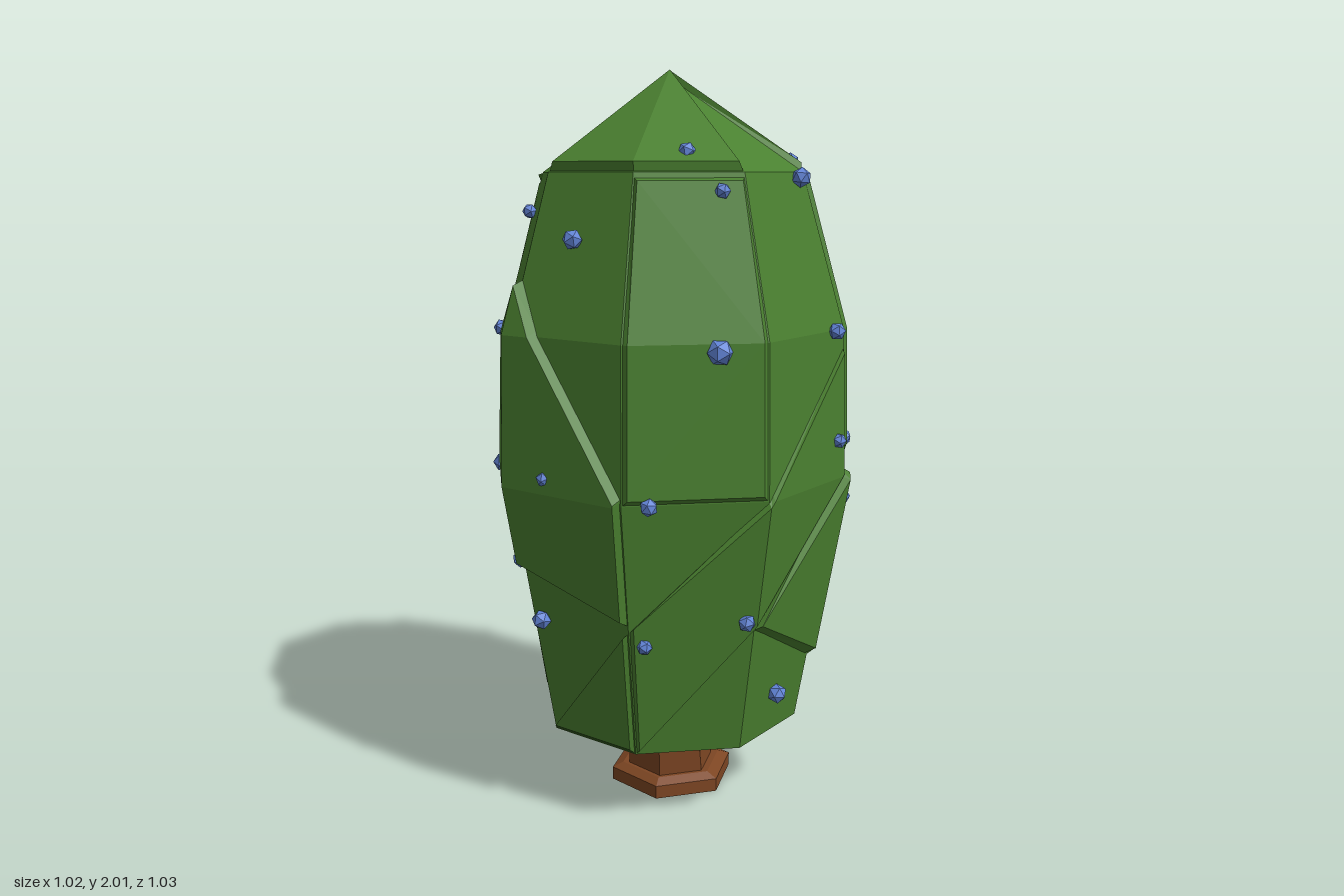
import * as THREE from 'three';

const leaf = new THREE.MeshStandardMaterial({ color: 0x4a8030, flatShading: true, side: THREE.DoubleSide });
leaf.name = 'leafGreen';
const bark = new THREE.MeshStandardMaterial({ color: 0x7d4623, flatShading: true });
bark.name = 'barkBrown';
const berryBlue = new THREE.MeshStandardMaterial({ color: 0x6285d8, flatShading: true });
berryBlue.name = 'berryBlue';

// Crown rings: [height, corner radius]; eight sides, u = corner number from the front towards +x
const RINGS = [[0.22, 0.368], [0.93, 0.49], [1.33, 0.48], [1.74, 0.362], [1.985, 0]];

function radiusAt(y) {
  for (let i = 1; i < RINGS.length; i++) {
    const [y0, r0] = RINGS[i - 1], [y1, r1] = RINGS[i];
    if (y <= y1 + 1e-6) return r0 + (r1 - r0) * (y - y0) / (y1 - y0);
  }
  return 0;
}

// Point on the faceted crown, pushed outwards by off
function onCrown(u, y, off = 0) {
  const k = Math.floor(u + 1e-6), f = u - k;
  const a = k * Math.PI / 4, b = a + Math.PI / 4;
  const r = radiusAt(y), R = r + off * Math.min(1, r / 0.3);
  const lift = off * THREE.MathUtils.clamp((y - 1.6) / 0.3, 0, 1);
  return new THREE.Vector3(
    R * (Math.sin(a) * (1 - f) + Math.sin(b) * f), y + lift,
    R * (Math.cos(a) * (1 - f) + Math.cos(b) * f));
}

// Keep the part of a (u, y) polygon where s * p[axis] >= s * limit
function clip(poly, axis, limit, s) {
  const out = [];
  poly.forEach((p, i) => {
    const q = poly[(i + 1) % poly.length];
    const dp = s * (p[axis] - limit), dq = s * (q[axis] - limit);
    if (dp >= 0) out.push(p);
    if (dp * dq < 0) {
      const t = dp / (dp - dq);
      out.push([p[0] + (q[0] - p[0]) * t, p[1] + (q[1] - p[1]) * t]);
    }
  });
  return out;
}

function meshFrom(points, name) {
  const g = new THREE.BufferGeometry().setFromPoints(points);
  g.computeVertexNormals();
  const m = new THREE.Mesh(g, leaf);
  m.name = name;
  return m;
}

// Surface of a (u, y) polygon draped over the crown facets
function drape(poly, off) {
  const pts = [];
  const us = poly.map(p => p[0]);
  for (let k = Math.floor(Math.min(...us)); k < Math.max(...us); k++) {
    for (let j = 0; j < RINGS.length - 1; j++) {
      let c = clip(clip(poly, 0, k, 1), 0, k + 1, -1);
      c = clip(clip(c, 1, RINGS[j][0], 1), 1, RINGS[j + 1][0], -1);
      // the last column edge must stay on this facet
      const v = c.map(([u, y]) => onCrown(u, y, off));
      for (let i = 1; i < v.length - 1; i++) pts.push(v[0], v[i], v[i + 1]);
    }
  }
  return pts;
}

// Raised leaf panel with sloping rim; corners run anticlockwise seen from outside
function leafPanel(name, corners, off) {
  const n = corners.length;
  const cu = corners.reduce((s, p) => s + p[0], 0) / n;
  const cy = corners.reduce((s, p) => s + p[1], 0) / n;
  const inner = corners.map(([u, y]) => {
    const du = cu - u, dy = cy - y;
    return [u + Math.sign(du) * Math.min(0.05, Math.abs(du)),
      y > 1.98 ? y : y + Math.sign(dy) * Math.min(0.015, Math.abs(dy))];
  });
  const pts = drape(inner, off);
  const mix = (p, q, t) => [p[0] + (q[0] - p[0]) * t, p[1] + (q[1] - p[1]) * t];
  for (let i = 0; i < n; i++) {
    const p = inner[i], q = inner[(i + 1) % n], P = corners[i], Q = corners[(i + 1) % n];
    // break the rim wherever it crosses a crown edge
    const cuts = [0, 1];
    for (let k = 0; k <= 9; k++) cuts.push((k - p[0]) / (q[0] - p[0]));
    for (const [y] of RINGS) cuts.push((y - p[1]) / (q[1] - p[1]));
    const ts = cuts.filter(t => t >= 0 && t <= 1).sort((a, b) => a - b);
    for (let j = 1; j < ts.length; j++) {
      if (ts[j] - ts[j - 1] < 1e-5) continue;
      const a = onCrown(...mix(p, q, ts[j - 1]), off), b = onCrown(...mix(p, q, ts[j]), off);
      const A = onCrown(...mix(P, Q, ts[j - 1]), -0.004), B = onCrown(...mix(P, Q, ts[j]), -0.004);
      pts.push(A, B, b, A, b, a);
    }
  }
  return meshFrom(pts, name);
}

function buildCrown() {
  const crown = new THREE.Group();
  crown.name = 'crown';
  const low = RINGS[0][0], top = RINGS[4][0];
  crown.add(meshFrom(drape([[0, low], [8, low], [8, top], [0, top]], 0), 'crownShell'));
  const panels = [
    ['frontRightLeaf', [[6, 0.9], [7, 0.7], [8, 0.6], [8, 0.95], [7, 1.47], [6, 0.95]], 0.024],
    ['lowerFrontLeaf', [[7, 0.22], [8, 0.22], [8, 0.58]], 0.012],
    ['diagonalLeaf', [[0, 0.22], [1, 0.57], [2, 0.95], [2, 1.28], [1, 0.93], [0, 0.58]], 0.012],
    ['leftSideLeaf', [[1, 0.57], [2, 0.4], [3, 0.37], [3, 0.64], [2, 0.95]], 0.022],
    ['upperFrontLeaf', [[0, 0.93], [1, 0.93], [1, 1.73], [0, 1.73]], 0.012],
    ['upperLeftLeaf', [[2, 1.0], [3, 0.64], [4, 0.94], [4, 1.74], [2, 1.74]], 0.014],
    ['lowerBackLeaf', [[4, 0.22], [6, 0.22], [6, 0.93], [4, 0.93]], 0.02],
    ['upperBackLeaf', [[5, 1.34], [6, 1.74], [4, 1.74]], 0.02],
    ['backSideLeaf', [[5, 1.34], [6, 0.98], [6, 1.72]], 0.012],
    ['frontCapLeaf', [[7, 1.74], [9, 1.74], [9, top], [7, top]], 0.022],
    ['backCapLeaf', [[2, 1.74], [4, 1.74], [4, top], [2, top]], 0.02],
  ];
  for (const p of panels) crown.add(leafPanel(...p));
  return crown;
}

function buildBerries() {
  const group = new THREE.Group();
  group.name = 'berries';
  // [u, height] on the crown
  const spots = [
    [0.65, 1.31], [0.19, 0.93], [7.47, 1.575], [0.76, 1.69], [0.5, 1.78], [1.83, 1.72],
    [6.4, 1.635], [6.35, 1.32], [6.1, 0.92], [7.36, 0.97], [6.3, 0.65], [7.13, 0.56],
    [0.13, 0.545], [0.91, 0.6], [1.47, 0.34], [1.85, 1.035], [1.82, 1.33], [2.2, 1.02],
    [2.74, 1.415], [2.35, 1.76], [3.5, 1.8], [2.06, 0.865], [2.9, 0.755], [2.58, 0.475],
    [3.85, 0.53], [3.8, 1.4], [3.95, 1.01], [5.18, 1.65], [4.2, 1.6], [5.5, 1.37],
    [4.4, 1.13], [5.1, 0.86], [5.25, 0.55], [5.85, 0.75],
  ];
  const geo = new THREE.IcosahedronGeometry(1, 0);
  spots.forEach(([u, y], i) => {
    const b = new THREE.Mesh(geo, berryBlue);
    b.name = 'berry';
    b.position.copy(onCrown(u, y, 0.016));
    b.scale.setScalar(i === 0 ? 0.034 : 0.021 + 0.003 * (i % 3));
    b.rotation.set(i, i * 2.1, i * 0.7);
    group.add(b);
  });
  return group;
}

function buildTrunk() {
  const trunk = new THREE.Group();
  trunk.name = 'trunk';
  const add = (name, rTop, rBottom, y0, y1, z0, z1) => {
    const g = new THREE.CylinderGeometry(rTop, rBottom, y1 - y0, 6);
    const p = g.attributes.position;
    // lean the section by shifting its two ends
    for (let i = 0; i < p.count; i++) p.setZ(i, p.getZ(i) + (p.getY(i) > 0 ? z1 : z0));
    const m = new THREE.Mesh(g, bark);
    m.name = name;
    m.position.set(0.006, (y0 + y1) / 2, 0);
    trunk.add(m);
  };
  add('trunkFoot', 0.178, 0.178, 0, 0.037, 0.002, 0.002);
  add('trunkFootBevel', 0.145, 0.178, 0.037, 0.052, 0.002, 0.008);
  add('lowerTrunk', 0.113, 0.125, 0.04, 0.23, 0.015, 0.04);
  add('upperTrunk', 0.1, 0.113, 0.23, 0.5, 0.04, 0.02);
  return trunk;
}

export function createModel() {
  const model = new THREE.Group();
  model.name = 'berryBush';
  model.add(buildCrown(), buildBerries(), buildTrunk());
  return model;
}
